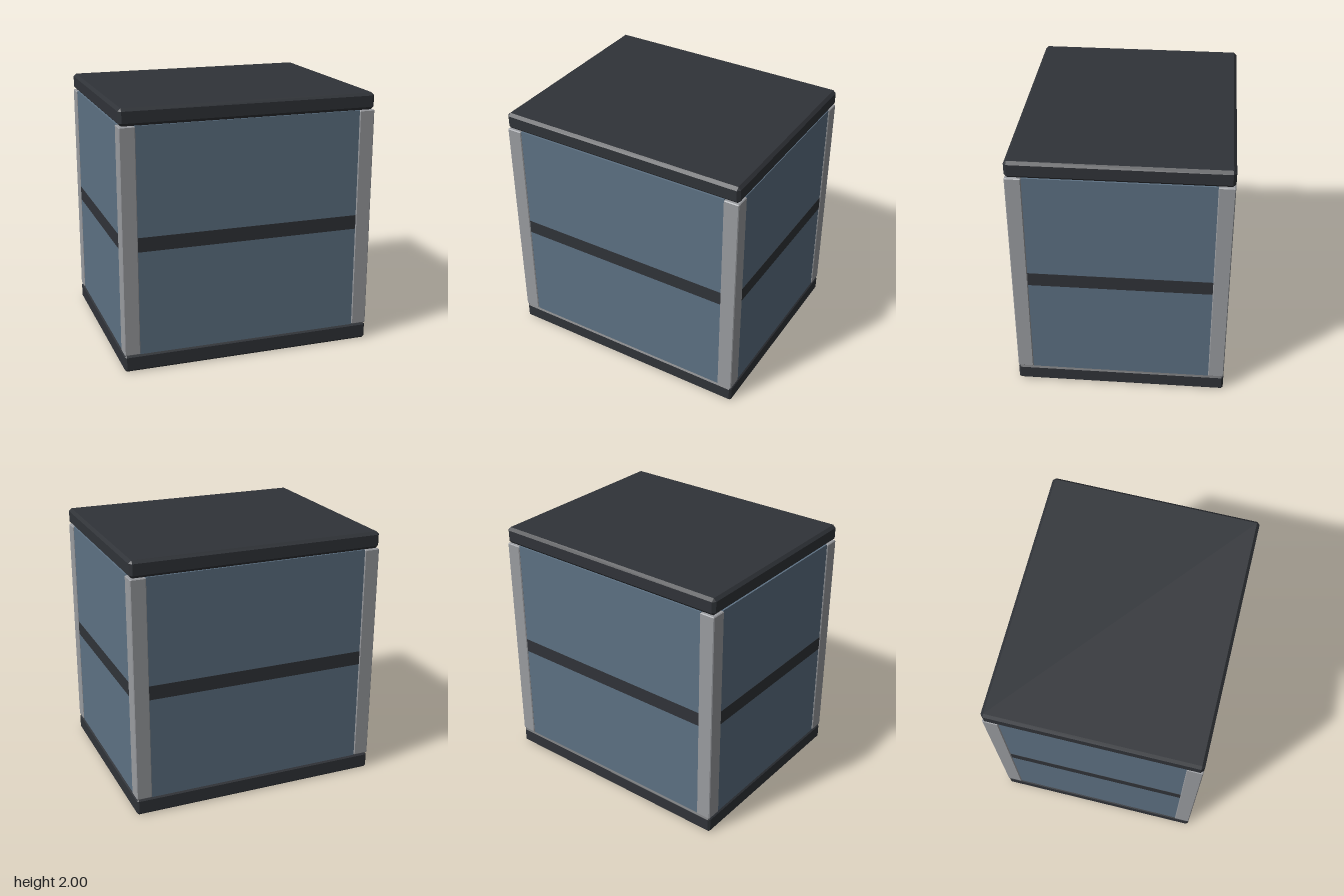
import * as THREE from 'three';
import { ConvexGeometry } from 'three/addons/geometries/ConvexGeometry.js';

// Box with every edge cut by a flat chamfer c
function chamferBox(w, h, d, c) {
  const x = w / 2, y = h / 2, z = d / 2, pts = [];
  for (const sx of [-1, 1]) for (const sy of [-1, 1]) for (const sz of [-1, 1]) {
    pts.push(new THREE.Vector3(sx * x, sy * (y - c), sz * (z - c)));
    pts.push(new THREE.Vector3(sx * (x - c), sy * y, sz * (z - c)));
    pts.push(new THREE.Vector3(sx * (x - c), sy * (y - c), sz * z));
  }
  return new ConvexGeometry(pts);
}

export function createModel() {
  const model = new THREE.Group();
  model.name = 'cabinet';
  const dark = new THREE.MeshStandardMaterial({ color: 0x303338, flatShading: true });
  const grey = new THREE.MeshStandardMaterial({ color: 0x9a9ca0, flatShading: true });
  const blue = new THREE.MeshStandardMaterial({ color: 0x5d7183 });

  const add = (name, geometry, material, x, y, z) => {
    const mesh = new THREE.Mesh(geometry, material);
    mesh.name = name;
    mesh.position.set(x, y, z);
    model.add(mesh);
  };

  const W = 1.98, D = 1.62, post = 0.12;

  // Base and lid slabs
  add('base', chamferBox(W, 0.13, D, 0.015), dark, 0, 0.065, 0);
  add('lid', chamferBox(W, 0.13, D, 0.022), dark, 0, 1.935, 0);

  // Corner posts
  const postGeometry = chamferBox(post, 1.736, post, 0.006);
  for (const sx of [-1, 1]) for (const sz of [-1, 1])
    add('cornerPost', postGeometry, grey, sx * (W - post) / 2, 1, sz * (D - post) / 2);

  // Wall panels between the posts, each with a dark strip across its middle
  const t = 0.03, recess = 0.008, proud = 0.002;
  for (const s of [-1, 1]) {
    const z = s * (D / 2 - recess - t / 2), x = s * (W / 2 - recess - t / 2);
    const wide = W - 2 * post, deep = D - 2 * post;
    add('widePanel', new THREE.BoxGeometry(wide, 1.74, t), blue, 0, 1, z);
    add('wideStrip', new THREE.BoxGeometry(wide, 0.11, t), dark, 0, 0.99, z + s * proud);
    add('sidePanel', new THREE.BoxGeometry(t, 1.74, deep), blue, x, 1, 0);
    add('sideStrip', new THREE.BoxGeometry(t, 0.11, deep), dark, x + s * proud, 0.99, 0);
  }
  return model;
}
